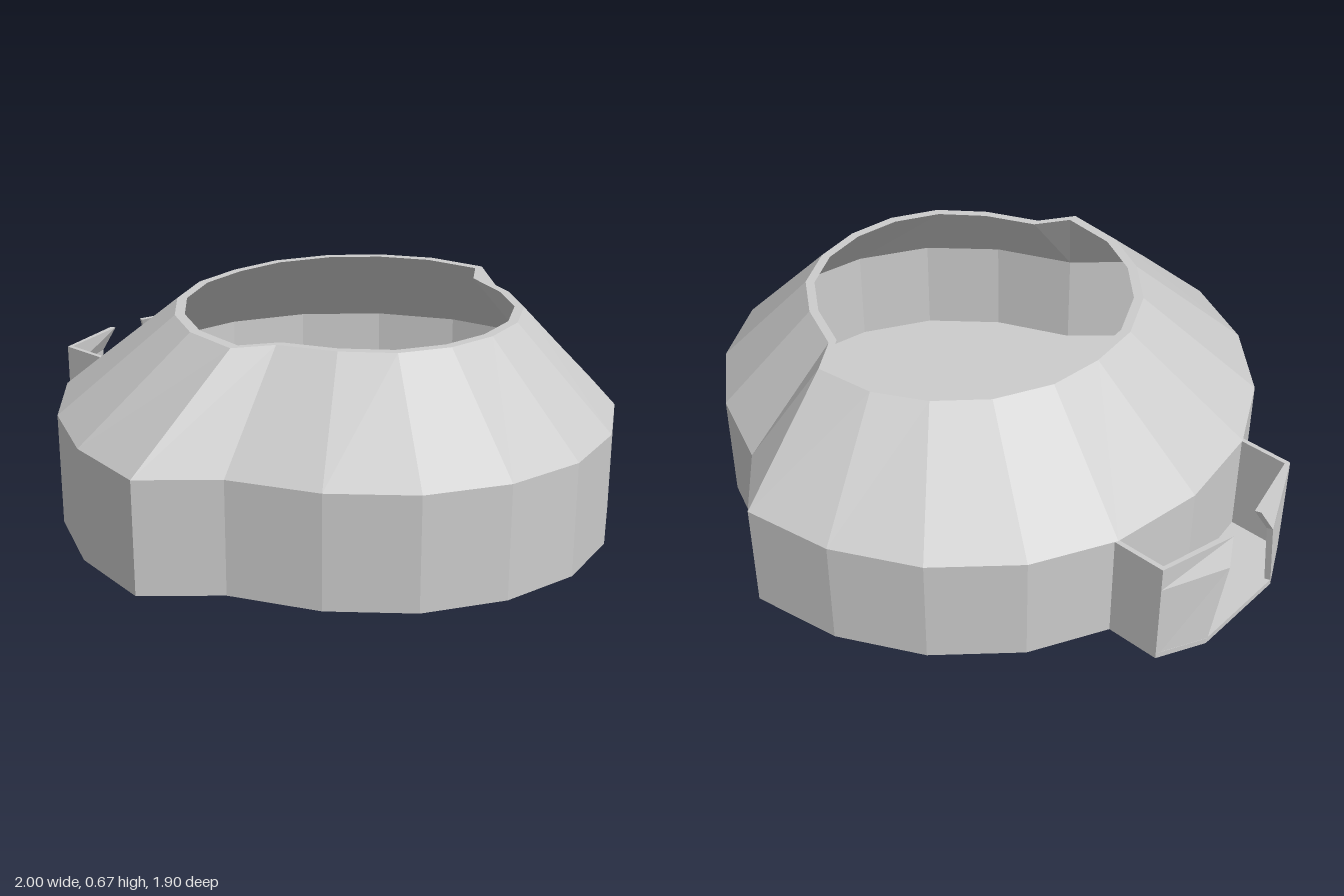
import * as THREE from 'three';

const material = new THREE.MeshStandardMaterial({ color: 0xcccccc, flatShading: true });

// Joins rings of [x, y, z] points (counter-clockwise from above) and caps both ends.
function loft(name, rings) {
  const pos = [];
  const tri = (a, b, c) => pos.push(...a, ...b, ...c);
  for (let i = 0; i < rings.length - 1; i++) {
    const lo = rings[i], hi = rings[i + 1], n = lo.length;
    for (let j = 0; j < n; j++) {
      const k = (j + 1) % n;
      tri(lo[j], lo[k], hi[k]);
      tri(lo[j], hi[k], hi[j]);
    }
  }
  const cap = (ring, up) => {
    const flat = ring.map(([x, , z]) => new THREE.Vector2(x, -z));
    for (const [a, b, c] of THREE.ShapeUtils.triangulateShape(flat, [])) {
      if (up) tri(ring[a], ring[b], ring[c]);
      else tri(ring[a], ring[c], ring[b]);
    }
  };
  cap(rings[0], false);
  cap(rings[rings.length - 1], true);
  const geo = new THREE.BufferGeometry();
  geo.setAttribute('position', new THREE.Float32BufferAttribute(pos, 3));
  geo.computeVertexNormals();
  const mesh = new THREE.Mesh(geo, material);
  mesh.name = name;
  return mesh;
}

// Half outlines [x, z] from the +x end to the -x end
const WALL = [[1, 0], [0.95, 0.25], [0.815, 0.48], [0.605, 0.655], [0.34, 0.77], [0.15, 0.948],
  [-0.14, 0.9], [-0.4, 0.768], [-0.612, 0.56], [-0.74, 0.31], [-0.785, 0]];
const RIM = [[0.68, 0], [0.655, 0.16], [0.575, 0.305], [0.44, 0.41], [0.27, 0.485], [0.195, 0.595],
  [0, 0.57], [-0.16, 0.485], [-0.29, 0.355], [-0.375, 0.18], [-0.395, 0]];

// Full symmetric ring at height y, scaled about the middle of the opening
function ring(half, y, s = 1) {
  const cx = 0.14;
  const at = ([x, z], side) => [cx + (x - cx) * s, y, z * s * side];
  return [...half.map(p => at(p, -1)), ...half.slice(1, -1).reverse().map(p => at(p, 1))];
}

export function createModel() {
  const group = new THREE.Group();
  group.name = 'basket';

  // Hollow body: vertical wall, sloping shoulder, rim, then back down inside to the floor
  group.add(loft('body', [
    ring(WALL, 0), ring(WALL, 0.36), ring(RIM, 0.67),
    ring(RIM, 0.67, 0.945), ring(WALL, 0.35, 0.967), ring(WALL, 0.02, 0.967),
  ]));

  // Clip on the -x side: two thin bent prongs whose tips change with height
  const tips = [[0, -0.985, -0.17], [0.28, -1, -0.11], [0.36, -0.975, -0.07]];
  const prong = tips.map(([y, tx, tz]) => [
    [-0.73, y, -0.32], [-0.91, y, -0.32], [tx, y, tz],
    [tx + 0.018, y, tz + 0.007], [-0.9, y, -0.305], [-0.73, y, -0.305],
  ]);
  const mirrored = prong.map(r => r.map(([x, y, z]) => [x, y, -z]).reverse());
  group.add(loft('rightProng', prong), loft('leftProng', mirrored));

  // Plate closing the bottom of the clip
  const plate = y => [[-0.73, y, -0.32], [-0.91, y, -0.32], [-0.985, y, -0.17],
    [-0.985, y, 0.17], [-0.91, y, 0.32], [-0.73, y, 0.32]];
  group.add(loft('clipFloor', [plate(0), plate(0.02)]));

  return group;
}
